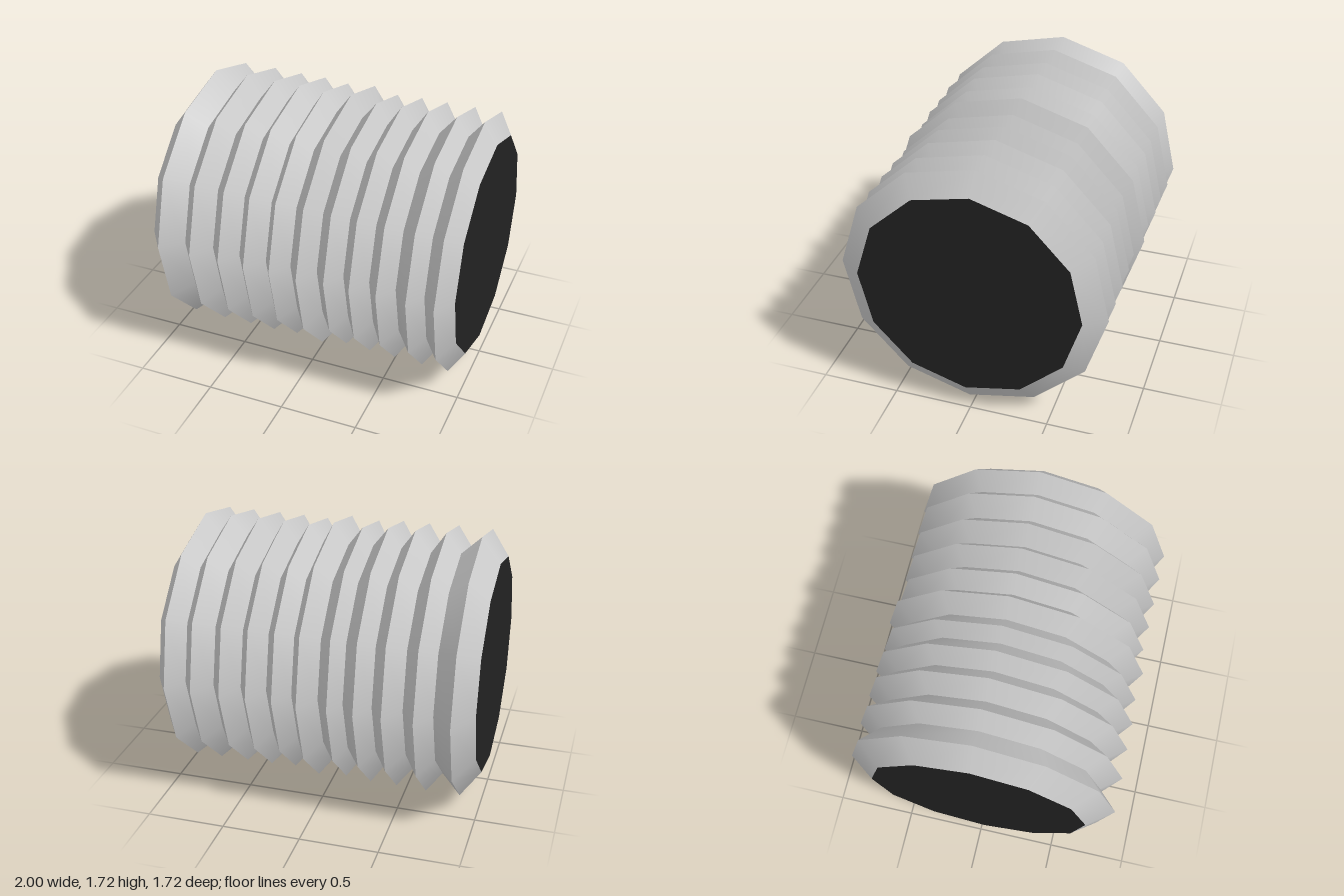
import * as THREE from 'three';
import { mergeGeometries } from 'three/addons/utils/BufferGeometryUtils.js';

const SIDES = 12;
const TWIST = 0.041; // slight roll about the long axis
const CENTRE_Y = 0.861;

// Alternating valley and ridge rings along the axis: [x, radius]
const RINGS = [
  [-1, 0.692], [-0.88, 0.857], [-0.755, 0.735], [-0.66, 0.86], [-0.567, 0.72],
  [-0.467, 0.855], [-0.38, 0.73], [-0.295, 0.855], [-0.2, 0.73], [-0.13, 0.842],
  [-0.04, 0.72], [0.055, 0.857], [0.13, 0.71], [0.22, 0.827], [0.297, 0.695],
  [0.385, 0.834], [0.463, 0.695], [0.555, 0.836], [0.636, 0.71], [0.74, 0.838],
  [0.818, 0.72], [0.913, 0.839], [1, 0.703],
];

// One open cone band between two rings, smooth around and sharp at its rims
function band([x0, r0], [x1, r1]) {
  return new THREE.CylinderGeometry(r1, r0, x1 - x0, SIDES, 1, true, -TWIST)
    .rotateZ(-Math.PI / 2)
    .translate((x0 + x1) / 2, 0, 0);
}

// Flat disc closing one end
function endCap(name, [x, r], material) {
  const side = Math.sign(x);
  const geometry = new THREE.CircleGeometry(r, SIDES, -side * TWIST)
    .rotateY(side * Math.PI / 2)
    .translate(x, 0, 0);
  const mesh = new THREE.Mesh(geometry, material);
  mesh.name = name;
  return mesh;
}

export function createModel() {
  const model = new THREE.Group();
  model.name = 'corrugatedTube';

  const grey = new THREE.MeshStandardMaterial({ color: 0xcccccc });
  const dark = new THREE.MeshStandardMaterial({ color: 0x222222 });

  // Pleated wall
  const bands = RINGS.slice(1).map((ring, i) => band(RINGS[i], ring));
  const bellows = new THREE.Mesh(mergeGeometries(bands), grey);
  bellows.name = 'bellows';

  // Dark ends
  model.add(
    bellows,
    endCap('rightEnd', RINGS[0], dark),
    endCap('leftEnd', RINGS[RINGS.length - 1], dark),
  );
  model.position.y = CENTRE_Y;
  return model;
}
